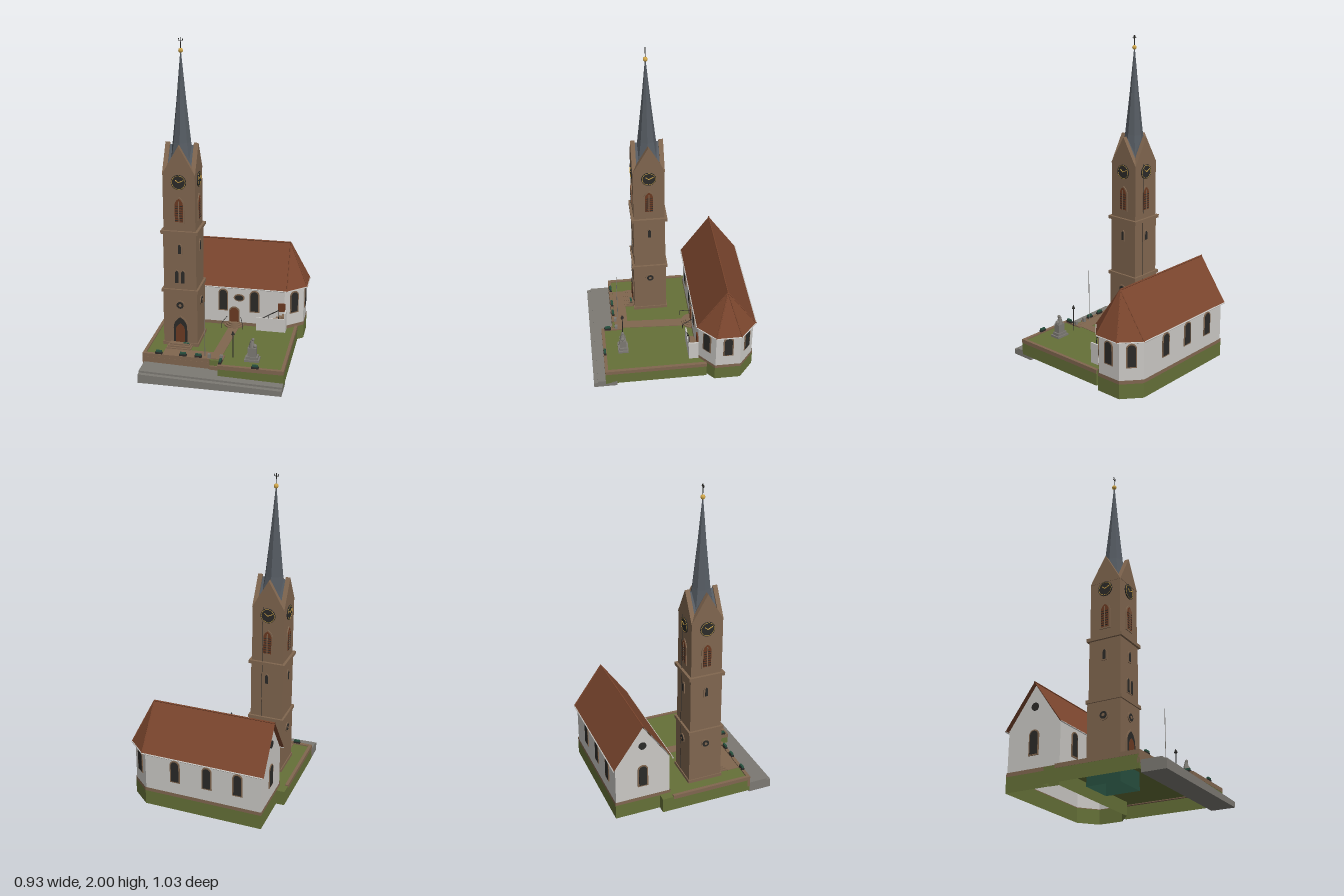
import * as THREE from 'three';

const mat = (name, color, side = THREE.FrontSide) => {
  const m = new THREE.MeshStandardMaterial({ color, side, flatShading: true });
  m.name = name;
  return m;
};

export function createModel() {
  const D = THREE.DoubleSide;
  const stone = mat('sandstone', 0x80664f, D), roofTile = mat('roof tile', 0x7a452d, D);
  const plaster = mat('white plaster', 0xcac8c4, D), grass = mat('grass', 0x657038, D);
  const slate = mat('slate', 0x555b62, D), grey = mat('grey paving', 0x7c7973);
  const wood = mat('red brown wood', 0x6b3a22), dark = mat('dark glass and iron', 0x2b2a28);
  const gold = mat('gold', 0xd0a548), teal = mat('dark green cellar', 0x27503f, D);

  const root = new THREE.Group();
  const group = (name) => { const g = new THREE.Group(); g.name = name; root.add(g); return g; };
  const add = (g, name, geo, m, x = 0, y = 0, z = 0, ry = 0) => {
    const mesh = new THREE.Mesh(geo, m);
    mesh.name = name;
    mesh.position.set(x, y, z);
    mesh.rotation.y = ry;
    g.add(mesh);
    return mesh;
  };
  // box given by its limits
  const box = (g, name, m, x0, x1, y0, y1, z0, z1) => add(g, name,
    new THREE.BoxGeometry(x1 - x0, y1 - y0, z1 - z0), m, (x0 + x1) / 2, (y0 + y1) / 2, (z0 + z1) / 2);
  const shapeOf = (pts) => new THREE.Shape(pts.map(p => new THREE.Vector2(...p)));
  const extrude = (s, depth) => new THREE.ExtrudeGeometry(s, { depth, bevelEnabled: false, curveSegments: 8 });
  // flat plate from an x,z outline
  const slab = (g, name, m, pts, top, depth) =>
    add(g, name, extrude(shapeOf(pts), depth).rotateX(Math.PI / 2), m, 0, top, 0);
  const faces = (polys) => {
    const v = [];
    for (const p of polys) for (let i = 1; i < p.length - 1; i++) v.push(...p[0], ...p[i], ...p[i + 1]);
    const geo = new THREE.BufferGeometry();
    geo.setAttribute('position', new THREE.Float32BufferAttribute(v, 3));
    geo.computeVertexNormals();
    return geo;
  };
  // open ring of upright walls around an x,z outline
  const ring = (pts, y0, y1) => faces(pts.map(([x, z], i) => {
    const [a, b] = pts[(i + 1) % pts.length];
    return [[x, y0, z], [a, y0, b], [a, y1, b], [x, y1, z]];
  }));
  const rod = (g, name, m, a, b, r) => add(g, name, new THREE.TubeGeometry(
    new THREE.LineCurve3(new THREE.Vector3(...a), new THREE.Vector3(...b)), 1, r, 6), m);
  // arched outline standing on y = 0, round or pointed
  const arch = (w, h, pointed) => {
    const s = new THREE.Shape(), r = w / 2;
    s.moveTo(-r, 0); s.lineTo(r, 0);
    if (pointed) {
      s.lineTo(r, h - w * 0.85);
      s.quadraticCurveTo(r, h - w * 0.3, 0, h);
      s.quadraticCurveTo(-r, h - w * 0.3, -r, h - w * 0.85);
    } else {
      s.lineTo(r, h - r); s.absarc(0, h - r, r, 0, Math.PI);
    }
    return s;
  };
  // wall frame at a point, turned to face outwards
  const face = (g, name, x, z, ry) => {
    const f = new THREE.Group();
    f.name = name; f.position.set(x, 0, z); f.rotation.y = ry; g.add(f);
    return f;
  };
  const opening = (f, name, x, y, w, h, m, pointed, rim = 0.008) => {
    add(f, name + ' frame', extrude(arch(w + 2 * rim, h + 2 * rim, pointed), 0.005), stone, x, y - rim, 0);
    add(f, name, extrude(arch(w, h, pointed), 0.007), m, x, y, 0);
  };

  // garden terrace and retaining walls
  const garden = group('garden');
  const plot = [[-0.465, -0.22], [-0.41, -0.22], [-0.41, -0.155], [0.33, -0.155], [0.39, -0.2], [0.41, -0.2],
    [0.41, 0.44], [0.015, 0.44], [0.015, 0.365], [-0.465, 0.365]];
  slab(garden, 'lawn', grass, plot, 0.115, 0.012);
  add(garden, 'terrace sides', ring(plot, 0.02, 0.113), grass);
  const caps = [[-0.466, -0.447, -0.15, 0.366], [-0.466, -0.05, 0.346, 0.366], [0.014, 0.033, 0.3, 0.441],
    [0.014, 0.411, 0.421, 0.441], [0.392, 0.411, -0.2, 0.441]];
  for (const [x0, x1, z0, z1] of caps) box(garden, 'wall coping', stone, x0, x1, 0.098, 0.123, z0, z1);
  box(garden, 'front retaining wall', stone, -0.465, -0.05, 0.05, 0.1, 0.35, 0.367);
  slab(garden, 'forecourt', stone, [[-0.345, 0.265], [-0.045, 0.265], [-0.025, -0.1], [0.04, -0.1],
    [0.012, 0.345], [-0.345, 0.345]], 0.118, 0.004);
  for (let i = 0; i < 3; i++) box(garden, 'gate step', stone, -0.05, 0.015, 0.04, 0.12 - i * 0.02, 0.325, 0.35 + i * 0.013);
  for (const x of [-0.055, 0.02]) box(garden, 'gate post', grey, x - 0.009, x + 0.009, 0.06, 0.145, 0.335, 0.353);
  for (const [x, z, r] of [[-0.365, 0.355, 0], [-0.215, 0.355, 0], [-0.12, 0.355, 0], [0.025, 0.4, 1], [0.24, 0.432, 0], [-0.225, 0.225, 0]]) {
    const a = r ? 0.008 : 0.022, b = r ? 0.022 : 0.008;
    box(garden, 'planter', dark, x - a, x + a, 0.12, 0.134, z - b, z + b);
    box(garden, 'planter leaves', teal, x - a * 0.8, x + a * 0.8, 0.134, 0.145, z - b * 0.8, z + b * 0.8);
  }

  // pavement sloping down to the right
  const road = group('street');
  const prism = (name, drop, z0, z1) => add(road, name, extrude(shapeOf([[-0.455, 0], [0.41, 0], [0.41, 0.045 - drop], [-0.455, 0.068 - drop]]), z1 - z0), grey, 0, 0, z0);
  prism('pavement left', 0, 0.367, 0.49);
  prism('roadway', 0.012, 0.49, 0.515);

  // statue, lamp and flagpole
  const statue = group('monument');
  [[0.045, 0.033, 0.115, 0.128], [0.036, 0.026, 0.128, 0.145], [0.026, 0.02, 0.145, 0.2]].forEach(([w, d, y0, y1]) =>
    box(statue, 'pedestal', grey, 0.203 - w, 0.203 + w, y0, y1, 0.313 - d, 0.313 + d));
  add(statue, 'seated figure', new THREE.CylinderGeometry(0.009, 0.02, 0.045, 8), grey, 0.2, 0.222, 0.313);
  add(statue, 'figure head', new THREE.SphereGeometry(0.01, 8, 6), grey, 0.207, 0.25, 0.313);
  add(statue, 'kneeling figure', new THREE.SphereGeometry(0.014, 8, 6), grey, 0.218, 0.21, 0.316);
  rod(garden, 'lamp post', dark, [0.083, 0.115, 0.305], [0.083, 0.27, 0.305], 0.003);
  add(garden, 'lamp head', new THREE.ConeGeometry(0.012, 0.025, 6), dark, 0.083, 0.28, 0.305);
  rod(garden, 'flagpole', grey, [-0.085, 0.115, 0.325], [-0.085, 0.475, 0.325], 0.002);

  // church nave with polygonal apse
  const church = group('church');
  const foot = [[-0.41, -0.155], [0.33, -0.155], [0.44, -0.25], [0.44, -0.405], [0.33, -0.5], [-0.41, -0.5]];
  const grow = (k) => foot.map(([x, z]) => [x + Math.sign(x) * k, z + Math.sign(z + 0.3275) * k]);
  add(church, 'earth base', ring(grow(0.004), 0.02, 0.113), grass);
  add(church, 'plinth', ring(grow(0.004), 0.113, 0.136), stone);
  add(church, 'nave walls', ring(foot, 0.115, 0.385), plaster);
  add(church, 'west gable', faces([[[-0.41, 0.38, -0.5], [-0.41, 0.38, -0.155], [-0.41, 0.63, -0.3275]]]), plaster);
  const eave = [[-0.43, -0.14], [0.345, -0.14], [0.462, -0.248], [0.462, -0.407], [0.345, -0.515], [-0.43, -0.515]];
  const E = eave.map(([x, z]) => [x, 0.377, z]);
  const A = [-0.43, 0.645, -0.3275], B = [0.34, 0.645, -0.3275];
  add(church, 'roof', faces([[E[0], E[1], B, A], [E[1], E[2], B], [E[2], E[3], B], [E[3], E[4], B], [E[4], E[5], A, B]]), roofTile);
  rod(church, 'ridge tiles', roofTile, A, B, 0.005);
  for (let i = 1; i < 5; i++) rod(church, 'hip tiles', roofTile, E[i], B, 0.004);
  for (let i = 0; i < 5; i++) rod(church, 'gutter', plaster, E[i], E[i + 1], 0.004);
  const front = face(church, 'south wall details', 0, -0.155, 0);
  const back = face(church, 'north wall details', 0, -0.5, Math.PI);
  for (const x of [-0.265, -0.07, 0.135]) {
    opening(front, 'nave window', x, 0.22, 0.048, 0.135, dark);
    opening(back, 'nave window', -x, 0.22, 0.048, 0.135, dark);
  }
  const tilt = Math.atan2(0.095, 0.11);
  for (const [x, z, a] of [[0.385, -0.2025, tilt], [0.44, -0.3275, Math.PI / 2], [0.385, -0.4525, Math.PI - tilt]])
    opening(face(church, 'apse wall details', x, z, a), 'apse window', 0, 0.22, 0.048, 0.135, dark);
  const west = face(church, 'west wall details', -0.41, -0.3275, -Math.PI / 2);
  opening(west, 'west window', 0, 0.22, 0.05, 0.135, dark);
  const disc = (r, t) => new THREE.CylinderGeometry(r, r, t, 20).rotateX(Math.PI / 2);
  add(west, 'gable roundel', disc(0.024, 0.01), dark, 0, 0.5, 0);
  opening(front, 'church door', 0.003, 0.135, 0.055, 0.1, wood);
  const oval = (m, s, t) => add(front, 'oval window', disc(0.036 * s, t), m, 0.035, 0.307, 0).scale.set(1, 0.68, 1);
  oval(stone, 1, 0.01); oval(dark, 0.75, 0.014);
  for (let i = 0; i < 3; i++) add(church, 'round step', new THREE.CylinderGeometry(0.065 - i * 0.013, 0.065 - i * 0.013, 0.008 * (i + 1), 20, 1, false, -Math.PI / 2, Math.PI), stone, 0.003, 0.115 + 0.004 * (i + 1), -0.155);
  for (const s of [-1, 1]) {
    rod(church, 'door railing', dark, [s * 0.045, 0.17, -0.155], [s * 0.068, 0.15, -0.09], 0.002);
    rod(church, 'railing post', dark, [s * 0.068, 0.115, -0.09], [s * 0.068, 0.15, -0.09], 0.002);
  }

  // outside stair on the south side
  const stair = group('outside stair');
  box(stair, 'stair wall', plaster, 0.155, 0.345, 0.115, 0.205, -0.104, -0.095);
  box(stair, 'stair end wall', plaster, 0.335, 0.345, 0.115, 0.245, -0.155, -0.095);
  for (let i = 0; i < 9; i++) box(stair, 'stair tread', stone, 0.16 + i * 0.0195, 0.1795 + i * 0.0195, 0.115, 0.13 + i * 0.011, -0.154, -0.104);
  box(stair, 'upper door', wood, 0.29, 0.335, 0.235, 0.29, -0.154, -0.145);
  rod(stair, 'handrail', dark, [0.17, 0.185, -0.1], [0.3, 0.265, -0.1], 0.003);
  for (const x of [0.17, 0.235, 0.3]) rod(stair, 'handrail post', dark, [x, 0.13, -0.1], [x, 0.185 + (x - 0.17) * 0.615, -0.1], 0.002);

  // bell tower
  const tower = group('bell tower');
  tower.position.set(-0.265, 0, 0.097);
  const tier = (name, m, h, y0, y1) => box(tower, name, m, -h, h, y0, y1, -h, h);
  add(tower, 'cellar', ring([[-0.105, -0.105], [0.105, -0.105], [0.105, 0.105], [-0.105, 0.105]], 0, 0.11), teal);
  tier('tower plinth', stone, 0.112, 0.113, 0.135);
  tier('lower storey', stone, 0.106, 0.13, 0.475);
  tier('lower cornice', stone, 0.114, 0.468, 0.488);
  tier('middle storey', stone, 0.101, 0.488, 0.85);
  tier('upper cornice', stone, 0.114, 0.843, 0.863);
  tier('belfry', stone, 0.098, 0.863, 1.215);
  for (let i = 0; i < 3; i++) box(tower, 'portal step', stone, -0.077 + i * 0.008, 0.077 - i * 0.008, 0.115, 0.124 + i * 0.009, 0.1, 0.172 - i * 0.013);
  const gable = shapeOf([[-0.1, 1.21], [0.1, 1.21], [0, 1.385]]);
  const gableRoof = shapeOf([[-0.092, 1.21], [0.092, 1.21], [0, 1.37]]);
  for (let k = 0; k < 4; k++) {
    const a = k * Math.PI / 2, n = [Math.sin(a), Math.cos(a)];
    const at = (d) => face(tower, 'tower face', n[0] * d, n[1] * d, a);
    add(at(0.072), 'gable', extrude(gable, 0.028), stone);
    add(at(0), 'gable roof', extrude(gableRoof, 0.074), slate);
    const top = at(0.098), mid = at(0.101), low = at(0.106);
    add(top, 'clock face', disc(0.046, 0.012), dark, 0, 1.165, 0);
    add(top, 'clock ring', new THREE.TorusGeometry(0.041, 0.0015, 4, 24), gold, 0, 1.165, 0.006);
    for (const [len, rot] of [[0.034, -1.1], [0.025, 0.9]])
      add(top, 'clock hand', new THREE.BoxGeometry(0.004, len, 0.003).translate(0, len / 2, 0), gold, 0, 1.165, 0.008).rotation.z = rot;
    opening(top, 'belfry opening', 0, 0.92, 0.05, 0.145, wood, true, 0.01);
    box(top, 'belfry mullion', stone, -0.003, 0.003, 0.92, 1.05, 0.003, 0.01);
    for (let i = 0; i < 7; i++) box(top, 'louvre', dark, -0.023, 0.023, 0.928 + i * 0.015, 0.932 + i * 0.015, 0.004, 0.009);
    opening(mid, 'slit window', 0, 0.72, 0.018, 0.058, dark, true);
    add(low, 'roundel frame', disc(0.03, 0.01), stone, 0, 0.385, 0);
    add(low, 'roundel', disc(0.022, 0.014), dark, 0, 0.385, 0);
    add(low, 'roundel centre', disc(0.009, 0.018), stone, 0, 0.385, 0);
    if (k === 0) {
      for (const x of [-0.019, 0.019]) opening(mid, 'twin window', x, 0.53, 0.022, 0.08, dark, true, 0.005);
      opening(low, 'portal', 0, 0.135, 0.085, 0.17, dark, true, 0.01);
      add(low, 'tower door', extrude(arch(0.058, 0.13, true), 0.01), wood, 0, 0.135, 0);
    }
  }

  // spire with finial
  const spire = [[0.086, 1.235], [0.07, 1.31], [0.056, 1.39], [0.028, 1.65], [0.003, 1.915]];
  add(tower, 'spire', new THREE.LatheGeometry(spire.map(p => new THREE.Vector2(...p)), 8), slate);
  add(tower, 'finial ball', new THREE.SphereGeometry(0.014, 12, 8), gold, 0, 1.925, 0);
  rod(tower, 'finial rod', dark, [0, 1.93, 0], [0, 2, 0], 0.002);
  rod(tower, 'weather vane', dark, [-0.014, 1.982, 0], [0.014, 1.982, 0], 0.002);
  for (const s of [-1, 1]) rod(tower, 'vane tip', dark, [s * 0.014, 1.982, 0], [s * 0.01, 1.995, 0], 0.002);
  rod(tower, 'lightning conductor', dark, [0.03, 1.22, -0.102], [0.03, 0.115, -0.108], 0.0015);
  return root;
}
